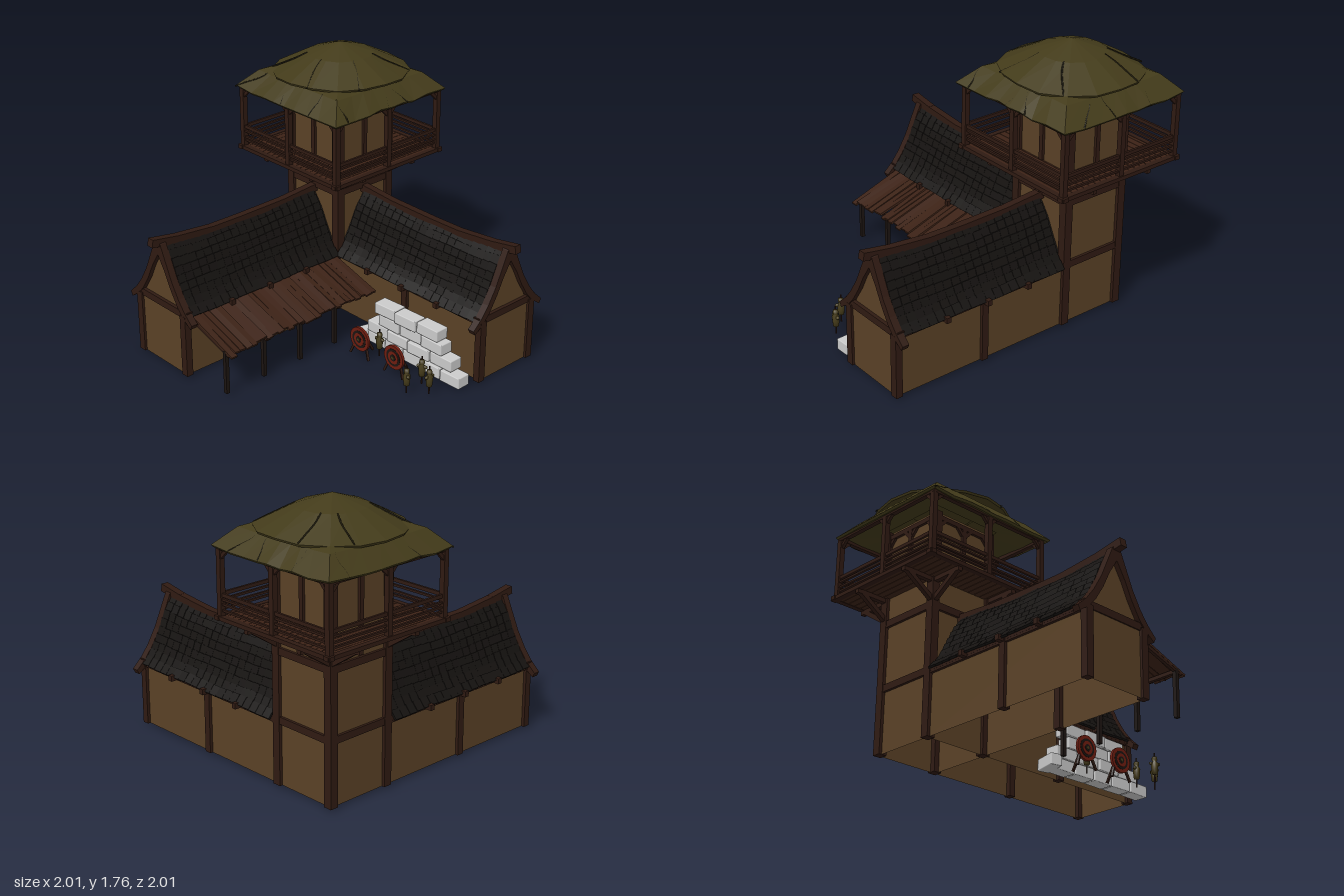
import * as THREE from 'three';
import { mergeGeometries } from 'three/addons/utils/BufferGeometryUtils.js';
import { RoundedBoxGeometry } from 'three/addons/geometries/RoundedBoxGeometry.js';

const mat = (color, opts = {}) => new THREE.MeshStandardMaterial({ color, ...opts });
const M = {
  plaster: mat(0x5a4126, { flatShading: true, side: THREE.DoubleSide }),
  wood: mat(0x2f1a12), dark: mat(0x1c1411), plank: mat(0x3c2216), shingle: mat(0x151210),
  thatch: mat(0x433b1a, { flatShading: true, side: THREE.DoubleSide }), crease: mat(0x1f1b0c),
  stone: mat(0xcccccc), red: mat(0x6e1d10), straw: mat(0x453b1a),
};
const C = -0.53; // tower centre on x and z

let seed = 7;
const rnd = (a = -1, b = 1) => { seed = (seed * 16807) % 2147483647; return a + (b - a) * seed / 2147483647; };
const V = (x, y, z) => new THREE.Vector3(x, y, z);

function add(parent, name, geo, material, x = 0, y = 0, z = 0) {
  const m = new THREE.Mesh(geo, material);
  m.name = name;
  m.position.set(x, y, z);
  parent.add(m);
  return m;
}
const box = (p, name, m, w, h, d, x, y, z) => add(p, name, new THREE.BoxGeometry(w, h, d), m, x, y, z);

// four walls without floor or ceiling
const walls = (w, h, d) => new THREE.CylinderGeometry(Math.SQRT1_2, Math.SQRT1_2, 1, 4, 1, true).rotateY(Math.PI / 4).scale(w, h, d);

// square timber between two points
function beam(p, name, a, b, w = 0.04, h = w, m = M.wood) {
  const mesh = box(p, name, m, w, h, a.distanceTo(b), 0, 0, 0);
  mesh.position.copy(a).add(b).multiplyScalar(0.5);
  mesh.lookAt(b);
  return mesh;
}

function extrude(pts, depth, z) {
  const shape = new THREE.Shape(pts.map(([x, y]) => new THREE.Vector2(x, y)));
  return new THREE.ExtrudeGeometry(shape, { depth, bevelEnabled: false }).translate(0, 0, z);
}
const mirrored = pts => [...pts, ...pts.slice().reverse().filter(p => p[0] !== 0).map(([x, y]) => [-x, y])];

// wing running along +z from the tower, with a concave shingled roof
function makeWing(name) {
  const g = new THREE.Group();
  g.name = name;
  add(g, 'wall', walls(0.44, 0.41, 1.25), M.plaster, 0, 0.225, 0.845);
  const slope = [[0.25, 0.43], [0.19, 0.49], [0.125, 0.6], [0.068, 0.71], [0, 0.8]];
  add(g, 'roofCore', extrude(mirrored(slope.map(([x, y]) => [x * 0.95, y - 0.012])), 1.19, 0.22), M.shingle);
  add(g, 'gable', extrude(mirrored(slope.map(([x, y]) => [x * 0.92, y - 0.025])), 0.05, 1.405), M.plaster);

  // shingles, laid in wavy rows along the curved slope
  const curve = new THREE.SplineCurve(slope.map(([x, y]) => new THREE.Vector2(x, y)));
  const tiles = [], rows = 9, cols = 20;
  for (const side of [-1, 1]) for (let r = 0; r < rows; r++) for (let c = 0; c < cols; c++) {
    const t = (r + 0.45) / rows, p = curve.getPointAt(t), d = curve.getTangentAt(t);
    const s = 0.25 + (c + 0.5) * 0.0595;
    const lift = 0.03 * Math.pow((s - 0.85) / 0.6, 2) * t - 0.006 * t + 0.003 * Math.sin(s * 14 + r);
    const tile = new THREE.BoxGeometry(0.062, 0.014, 0.058);
    tile.rotateZ(Math.atan2(d.y, d.x) + Math.PI - 0.14).rotateX(rnd() * 0.03);
    tile.translate(p.x + 0.005 + rnd() * 0.001, p.y + lift + 0.004, s);
    if (side < 0) tile.rotateY(Math.PI).translate(0, 0, 2 * s);
    tiles.push(tile);
  }
  add(g, 'shingles', mergeGeometries(tiles), M.shingle);

  // sagging ridge beam
  const ridge = [[0.22, 0.825], [0.5, 0.803], [0.85, 0.798], [1.08, 0.8], [1.36, 0.828], [1.53, 0.858]];
  for (let i = 0; i < ridge.length - 1; i++)
    beam(g, 'ridgeBeam', V(0, ridge[i][1], ridge[i][0] - 0.004), V(0, ridge[i + 1][1], ridge[i + 1][0] + 0.004), 0.048, 0.05);

  // curved bargeboards and gable timbers
  const outer = [[0.305, 0.4], [0.24, 0.46], [0.185, 0.53], [0.125, 0.63], [0.075, 0.74], [0.03, 0.84], [0, 0.86]];
  const inner = [[0, 0.765], [0.06, 0.67], [0.11, 0.57], [0.17, 0.475], [0.22, 0.42], [0.29, 0.37]];
  for (const s of [-1, 1])
    add(g, 'bargeboard', extrude([...outer, ...inner].map(([x, y]) => [s * x, y]), 0.045, 1.44), M.wood);
  box(g, 'gableBeam', M.wood, 0.5, 0.045, 0.045, 0, 0.435, 1.455);
  for (const s of [-1, 1]) {
    box(g, 'eaveBeam', M.wood, 0.03, 0.04, 1.24, s * 0.222, 0.425, 0.85);
    for (const z of [0.84, 1.463]) box(g, 'wallPost', M.wood, 0.05, 0.41, 0.045, s * 0.215, 0.225, z);
    for (const z of [0.54, 0.84, 1.14]) box(g, 'rafterEnd', M.wood, 0.09, 0.035, 0.03, s * 0.235, 0.425, z);
  }
  return g;
}

// thatch tier from [radius, y, edge wobble] rings; q blends round (0) to square (1)
function thatchPoint(r, y, a, q) {
  const sq = 1 / Math.max(Math.abs(Math.cos(a)), Math.abs(Math.sin(a)));
  const k = r * (1 + q * (sq - 1));
  return V(k * Math.cos(a), y, k * Math.sin(a));
}
function thatchTier(rings, n, q) {
  const pos = [], idx = [], wob = Array.from({ length: n }, () => rnd());
  rings.forEach(([r, y, w]) => {
    for (let i = 0; i < n; i++)
      pos.push(...thatchPoint(r - Math.abs(wob[i]) * w, y + wob[i] * w * 0.6, i / n * Math.PI * 2, q).toArray());
  });
  for (let k = 0; k < rings.length - 1; k++) for (let i = 0; i < n; i++) {
    const j = (i + 1) % n, a = k * n + i, b = k * n + j;
    idx.push(a, a + n, b, b, a + n, b + n);
  }
  const geo = new THREE.BufferGeometry();
  geo.setAttribute('position', new THREE.Float32BufferAttribute(pos, 3));
  geo.setIndex(idx);
  geo.computeVertexNormals();
  return geo;
}

function makeThatchRoof() {
  const roof = new THREE.Group();
  roof.name = 'thatchRoof';
  roof.position.set(0.01, 0, 0.01);
  const tiers = [
    { rings: [[0.24, 1.5, 0], [0.472, 1.437, 0.016], [0.482, 1.45, 0.016], [0.37, 1.56, 0.006], [0.2, 1.63, 0]], n: 32, q: 1, creases: 12 },
    { rings: [[0.2, 1.64, 0], [0.425, 1.566, 0.016], [0.432, 1.58, 0.016], [0.21, 1.692, 0.004], [0.001, 1.76, 0]], n: 16, q: 0.1, creases: 6 },
  ];
  tiers.forEach(({ rings, n, q, creases }, t) => {
    add(roof, t ? 'upperThatch' : 'lowerThatch', thatchTier(rings, n, q), M.thatch);
    // dark creases that wander up the slope
    const [lo, hi] = [rings[2], rings[3]];
    for (let i = 0; i < creases; i++) {
      const a0 = (i + 0.3 + rnd() * 0.2) / creases * Math.PI * 2;
      const pts = [0, 0.04, 0.1, 0.13].map((da, j) => {
        const u = j / 3;
        return thatchPoint(lo[0] + (hi[0] - lo[0]) * u - 0.01, lo[1] + (hi[1] - lo[1]) * u, a0 + (i % 2 ? da : -da), q);
      });
      add(roof, 'thatchCrease', new THREE.TubeGeometry(new THREE.CatmullRomCurve3(pts), 8, 0.006, 4), M.crease);
    }
  });
  return roof;
}

function makeTower() {
  const g = new THREE.Group();
  g.name = 'tower';
  add(g, 'towerWall', walls(0.44, 1.46, 0.44), M.plaster, 0, 0.75, 0);
  for (const x of [-1, 1]) for (const z of [-1, 1]) box(g, 'cornerPost', M.wood, 0.055, 1.46, 0.055, x * 0.213, 0.75, z * 0.213);
  const balcony = new THREE.Group();
  balcony.name = 'balcony';
  balcony.position.set(0.007, 0, 0.007);
  const floor = [];
  for (let i = 0; i < 20; i++) floor.push(new THREE.BoxGeometry(0.042, 0.02, 0.91 + rnd() * 0.01).translate(-0.428 + i * 0.045, 1.035, 0));
  add(balcony, 'balconyFloor', mergeGeometries(floor), M.plank);

  // everything that repeats on the four sides
  for (let k = 0; k < 4; k++) {
    const s = new THREE.Group(), b = new THREE.Group();
    s.name = 'towerSide';
    b.name = 'balconySide';
    for (const y of [0.43, 0.85]) box(s, 'crossBeam', M.wood, 0.46, 0.045, 0.03, 0, y, 0.222);
    box(s, 'topBeam', M.wood, 0.46, 0.03, 0.03, 0, 1.44, 0.222);
    box(s, 'chamberPost', M.wood, 0.03, 0.4, 0.03, 0, 1.25, 0.222);
    // diagonal knees that round the tops of the openings
    for (const [x, d] of [[-0.195, 1], [-0.01, -1], [0.01, 1], [0.195, -1]])
      beam(s, 'chamberKnee', V(x, 1.385, 0.225), V(x + d * 0.045, 1.435, 0.225), 0.022);
    for (const x of [-0.215, 0.215]) {
      beam(s, 'balconyBrace', V(x, 0.88, 0.22), V(x, 1.02, 0.43), 0.03);
      box(s, 'joist', M.wood, 0.03, 0.03, 0.23, x, 1.012, 0.335);
    }
    box(b, 'balconyEdge', M.wood, 0.94, 0.025, 0.035, 0, 1.035, 0.445);
    box(b, 'eavePlate', M.wood, 0.91, 0.028, 0.03, 0, 1.445, 0.437);
    for (const x of [-0.437, 0]) box(b, 'balconyPost', M.wood, 0.034, 0.42, 0.034, x, 1.245, 0.437);
    [1.08, 1.11, 1.14, 1.175].forEach((y, i) =>
      beam(b, 'rail', V(-0.44, y + rnd() * 0.006, 0.437), V(0.44, y + rnd() * 0.006, 0.437), 0.015, i === 3 ? 0.022 : 0.013));
    for (const [x, d] of [[-0.43, 1], [0, -1], [0, 1], [0.43, -1]])
      beam(b, 'postKnee', V(x, 1.385, 0.437), V(x + d * 0.055, 1.44, 0.437), 0.02);
    s.rotation.y = b.rotation.y = k * Math.PI / 2;
    g.add(s);
    balcony.add(b);
  }
  g.add(balcony, makeThatchRoof());
  return g;
}

// plank lean-to along one wing
function makeLeanTo() {
  const g = new THREE.Group();
  g.name = 'leanTo';
  for (let i = 0; i < 28; i++) {
    const z = -0.26 + i * 0.0422, e = rnd(0, 0.035);
    const p = beam(g, 'roofPlank', V(-0.3, 0.415 + rnd() * 0.006, z), V(0.08 - e, 0.296 + e * 0.3 + rnd() * 0.008, z + rnd() * 0.006), 0.043, 0.014, M.plank);
    p.rotateZ(rnd() * 0.2);
  }
  for (const z of [0.02, 0.31, 0.6, 0.89]) {
    box(g, 'leanToPost', M.dark, 0.025, 0.29, 0.025, 0.01, 0.165, z);
    beam(g, 'leanToRafter', V(-0.3, 0.395, z), V(0.05, 0.288, z), 0.02);
  }
  box(g, 'leanToPlate', M.wood, 0.022, 0.022, 1.16, 0.01, 0.295, 0.32);
  return g;
}

function makeStonePile() {
  const g = new THREE.Group();
  g.name = 'stonePile';
  [[0.13, 0.93, 5], [0.13, 0.85, 4], [0.23, 0.77, 3], [0.2, 0.73, 3]].forEach(([x0, x1, n], r) => {
    const w = (x1 - x0) / n;
    for (let i = 0; i < n; i++) {
      const b = add(g, 'stoneBlock', new RoundedBoxGeometry(w - 0.006, 0.074, 0.095, 1, 0.006), M.stone, x0 + (i + 0.5) * w, 0.057 + r * 0.078, -0.195 + rnd() * 0.008);
      b.rotation.y = rnd() * 0.06;
    }
  });
  add(g, 'stoneBlock', new RoundedBoxGeometry(0.08, 0.074, 0.16, 1, 0.006), M.stone, 0.11, 0.057, -0.19).rotation.y = -0.25;
  return g;
}

function makeTarget(x) {
  const g = new THREE.Group();
  g.name = 'archeryTarget';
  [[0.08, M.red], [0.058, M.dark], [0.042, M.red], [0.022, M.dark], [0.01, M.straw]].forEach(([r, m], i) =>
    add(g, 'targetRing', new THREE.CylinderGeometry(r, r, 0.018, 24).rotateX(Math.PI / 2), m, 0, 0.13, i * 0.002));
  for (const s of [-1, 1]) beam(g, 'targetLeg', V(s * 0.02, 0.16, -0.015), V(s * 0.08, 0.007, 0.005), 0.014);
  beam(g, 'targetBackLeg', V(0, 0.18, -0.015), V(0, 0.01, -0.11), 0.014);
  g.position.set(x, 0, 0);
  return g;
}

function makeDummy(x, z, turn) {
  const g = new THREE.Group();
  g.name = 'trainingDummy';
  add(g, 'dummyPole', new THREE.CylinderGeometry(0.005, 0.005, 0.19, 6), M.wood, 0, 0.11, 0);
  const body = [[0.001, 0.065], [0.018, 0.07], [0.021, 0.1], [0.024, 0.135], [0.012, 0.15], [0.018, 0.16], [0.016, 0.178], [0.001, 0.185]];
  add(g, 'dummyBody', new THREE.LatheGeometry(body.map(p => new THREE.Vector2(...p)), 10), M.straw);
  add(g, 'dummyArms', new THREE.CapsuleGeometry(0.011, 0.05, 3, 8).rotateZ(Math.PI / 2), M.straw, 0, 0.135, 0);
  g.position.set(x, 0, z);
  g.rotation.y = turn;
  return g;
}

export function createModel() {
  const model = new THREE.Group();
  model.name = 'watchtowerHouse';
  const tower = makeTower(), front = makeWing('frontWing'), side = makeWing('sideWing');
  side.rotation.y = Math.PI / 2;
  for (const part of [tower, front, side]) { part.position.set(C, 0, C); model.add(part); }
  model.add(makeLeanTo(), makeStonePile(), makeTarget(0.225), makeTarget(0.525));
  for (const d of [[0.315, -0.08, 0.1], [0.72, -0.04, 0.3], [0.83, 0.01, 1.5], [0.73, 0.1, -0.4]]) model.add(makeDummy(...d));
  return model;
}
